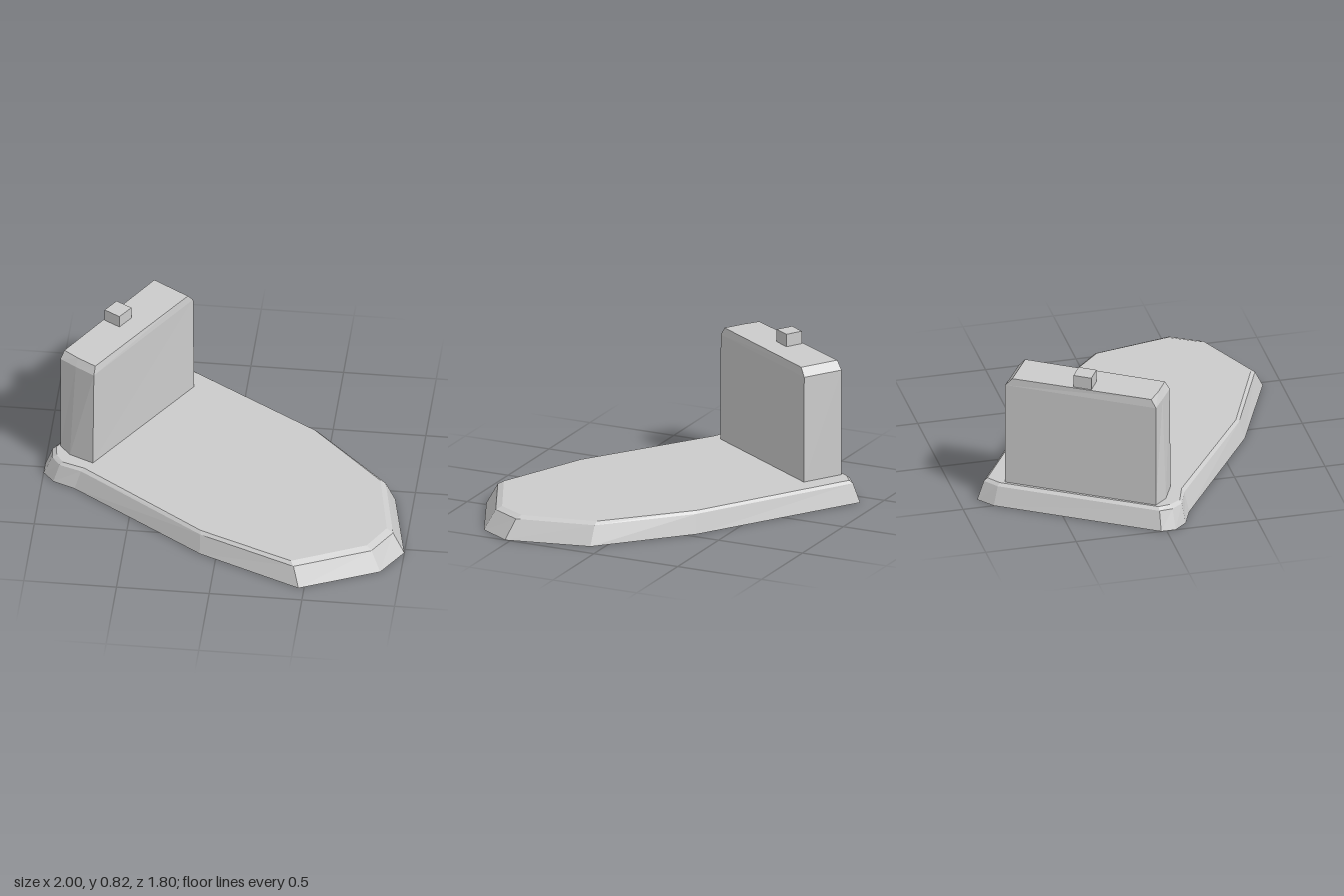
import * as THREE from 'three';

const material = new THREE.MeshStandardMaterial({ color: 0xcccccc, flatShading: true, side: THREE.DoubleSide });

// Walls through a stack of rings; each ring is { y, pts: [[x, z], ...] }, clockwise seen from above
function loft(rings) {
  const pos = [];
  for (let r = 0; r < rings.length - 1; r++) {
    const lo = rings[r], hi = rings[r + 1], n = lo.pts.length;
    for (let i = 0; i < n; i++) {
      const j = (i + 1) % n;
      const at = (ring, k) => [ring.pts[k][0], ring.y, ring.pts[k][1]];
      const a = at(lo, i), b = at(lo, j), c = at(hi, j), d = at(hi, i);
      pos.push(...b, ...a, ...d, ...b, ...d, ...c);
    }
  }
  const geo = new THREE.BufferGeometry();
  geo.setAttribute('position', new THREE.Float32BufferAttribute(pos, 3));
  geo.computeVertexNormals();
  return geo;
}

// Flat horizontal face at height y, with an optional hole
function cap({ y, pts }, hole) {
  const flat = (list) => list.map(([x, z]) => new THREE.Vector2(x, -z));
  const shape = new THREE.Shape(flat(pts));
  if (hole) shape.holes.push(new THREE.Path(flat(hole)));
  return new THREE.ShapeGeometry(shape).rotateX(-Math.PI / 2).translate(0, y, 0);
}

function part(name, rings, hole) {
  const group = new THREE.Group();
  group.name = name;
  const walls = new THREE.Mesh(loft(rings), material);
  walls.name = name + 'Walls';
  const top = new THREE.Mesh(cap(rings[rings.length - 1], hole), material);
  top.name = name + 'Top';
  group.add(walls, top);
  return group;
}

export function createModel() {
  const model = new THREE.Group();
  model.name = 'baseWithUprightSlab';

  // Hollow base: foot outline and the smaller top outline
  const foot = [[-0.41, -0.90], [0.46, -0.35], [0.90, 0.07], [1, 0.53], [0.89, 0.71], [0.47, 0.90],
    [-0.09, 0.66], [-0.82, 0.17], [-0.94, 0.12], [-1, 0.05], [-1, -0.03], [-0.50, -0.83]];
  const rim = [[-0.40, -0.84], [0.42, -0.33], [0.82, 0.07], [0.90, 0.48], [0.81, 0.64], [0.42, 0.82],
    [-0.09, 0.61], [-0.77, 0.14], [-0.89, 0.10], [-0.93, 0.04], [-0.94, -0.03], [-0.47, -0.79]];
  const shoulder = foot.map(([x, z], i) => [x + (rim[i][0] - x) * 0.65, z + (rim[i][1] - z) * 0.65]);

  // Upright slab, hollow and open below, with a chamfered top and a slight fold in one end
  const slab = [
    { y: 0.12, pts: [[-0.47, -0.76], [-0.265, -0.635], [-0.73, 0.09], [-0.86, 0.03], [-0.92, -0.04]] },
    { y: 0.71, pts: [[-0.47, -0.76], [-0.27, -0.635], [-0.725, 0.085], [-0.83, 0.02], [-0.92, -0.04]] },
    { y: 0.755, pts: [[-0.49, -0.725], [-0.295, -0.605], [-0.72, 0.06], [-0.82, 0], [-0.90, -0.06]] },
  ];

  model.add(part('base', [{ y: 0, pts: foot }, { y: 0.105, pts: shoulder }, { y: 0.12, pts: rim }], slab[0].pts));
  model.add(part('slab', slab));

  // Small block on the slab
  const knob = [[-0.66, -0.43], [-0.575, -0.38], [-0.63, -0.295], [-0.715, -0.345]];
  model.add(part('knob', [{ y: 0.75, pts: knob }, { y: 0.825, pts: knob }]));
  return model;
}
